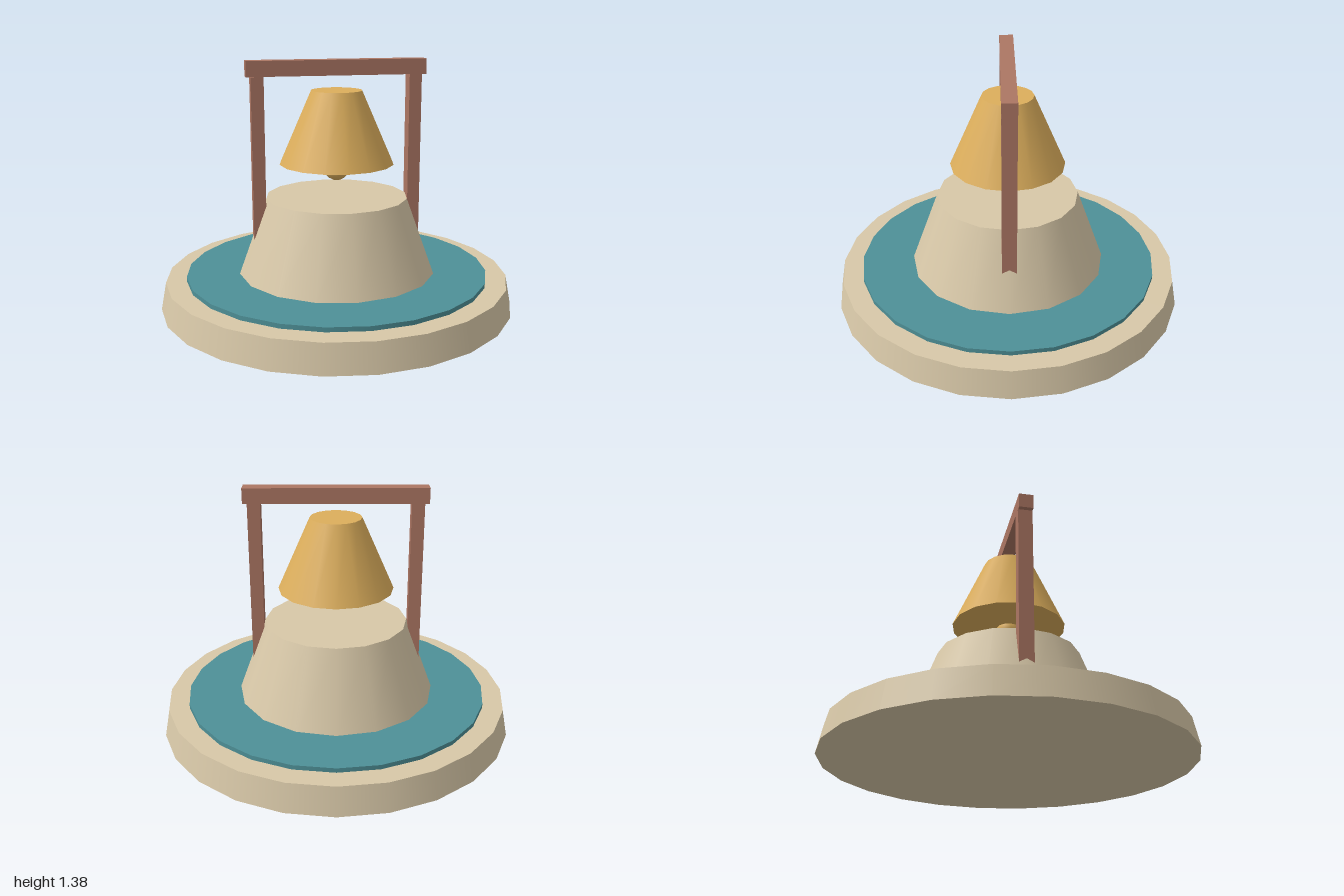
import * as THREE from 'three';

const paint = (name, color) => {
  const m = new THREE.MeshStandardMaterial({ color });
  m.name = name;
  return m;
};

export function createModel() {
  const stone = paint('stone', 0xd8c8a8);
  const water = paint('water', 0x4e9097);
  const gold = paint('gold', 0xdcae5c);
  const wood = paint('wood', 0xac7663);

  const model = new THREE.Group();
  model.name = 'bellFountain';

  const add = (name, geometry, material, x, y) => {
    const mesh = new THREE.Mesh(geometry, material);
    mesh.name = name;
    mesh.position.set(x, y, 0);
    model.add(mesh);
  };

  // Closed tapered drum spanning y0 to y1
  const drum = (name, material, rTop, rBottom, y0, y1, sides) =>
    add(name, new THREE.CylinderGeometry(rTop, rBottom, y1 - y0, sides), material, 0, (y0 + y1) / 2);

  // Basin, water and pedestal
  drum('base', stone, 0.97, 1, 0, 0.155, 24);
  drum('waterDisc', water, 0.855, 0.855, 0.15, 0.18, 24);
  drum('pedestal', stone, 0.4, 0.56, 0.175, 0.61, 16);

  // Bell with clapper
  drum('bell', gold, 0.143, 0.322, 0.8, 1.207, 16);
  add('clapper', new THREE.SphereGeometry(0.073, 12, 10), gold, 0, 0.773);

  // Frame: two posts sunk into the pedestal, and a crossbeam
  for (const [name, side] of [['leftPost', 1], ['rightPost', -1]]) {
    add(name, new THREE.BoxGeometry(0.07, 0.96, 0.08), wood, side * 0.44, 0.81);
  }
  add('crossbeam', new THREE.BoxGeometry(1, 0.085, 0.08), wood, 0, 1.333);

  return model;
}
